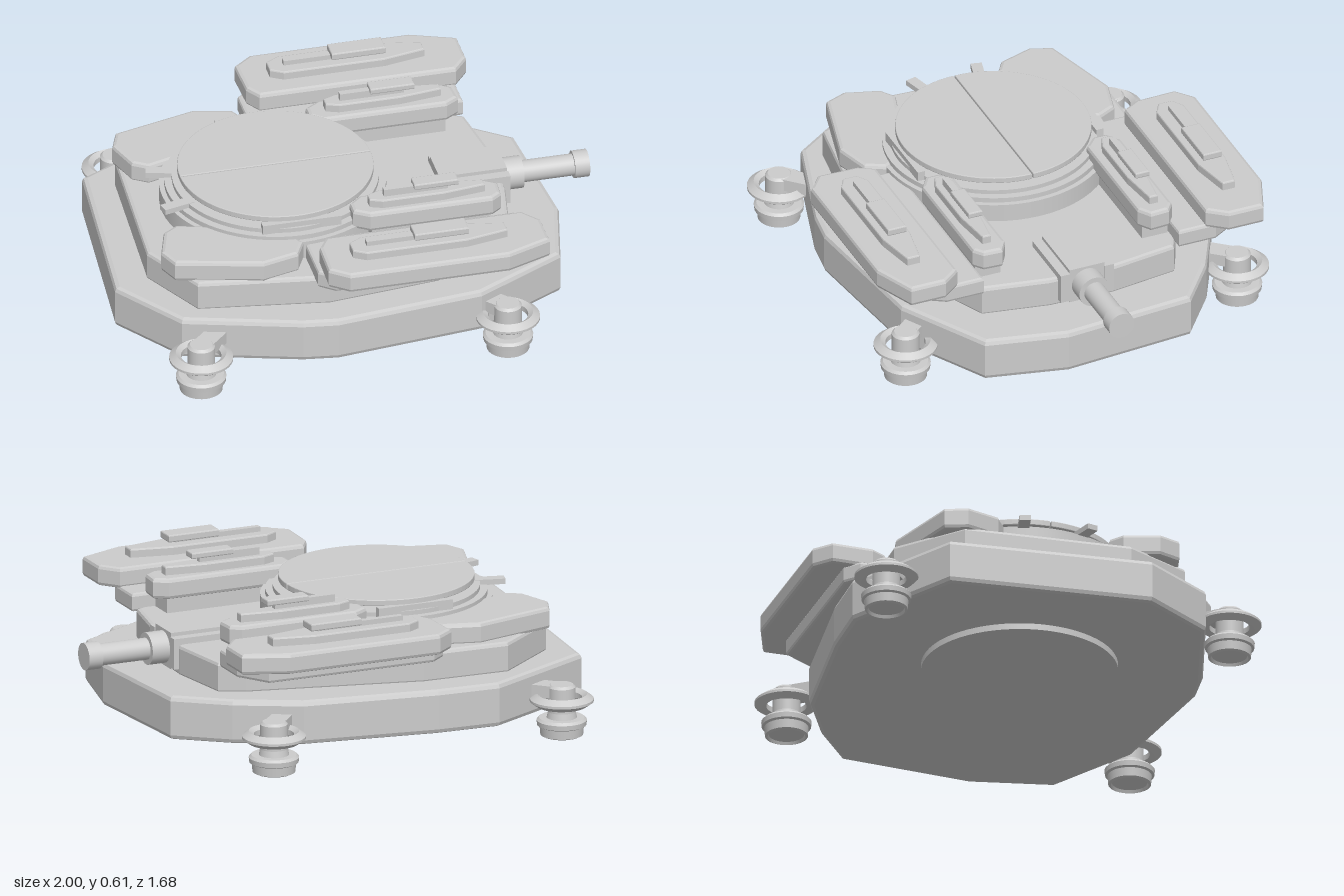
import * as THREE from 'three';

const material = new THREE.MeshStandardMaterial({ color: 0xcccccc });

function add(parent, name, geometry, x = 0, y = 0, z = 0) {
  const mesh = new THREE.Mesh(geometry, material);
  mesh.name = name;
  mesh.position.set(x, y, z);
  parent.add(mesh);
  return mesh;
}

// Bevelled plate with an [x, z] outline between two heights
function plate(parent, name, outline, bottom, top, bevel = 0.012) {
  const shape = new THREE.Shape(outline.map(([x, z]) => new THREE.Vector2(x, z)));
  const geometry = new THREE.ExtrudeGeometry(shape, {
    depth: top - bottom - 2 * bevel,
    bevelThickness: bevel, bevelSize: bevel, bevelOffset: -bevel, bevelSegments: 2,
    curveSegments: 24,
  });
  geometry.rotateX(Math.PI / 2);
  geometry.translate(0, top - bevel, 0);
  return add(parent, name, geometry);
}

// Vertical disc between two heights
function disc(parent, name, r, bottom, top, x, z = 0) {
  return add(parent, name, new THREE.CylinderGeometry(r, r, top - bottom, 64), x, (bottom + top) / 2, z);
}

function box(parent, name, x0, x1, y0, y1, z0, z1) {
  return add(parent, name, new THREE.BoxGeometry(x1 - x0, y1 - y0, z1 - z0),
    (x0 + x1) / 2, (y0 + y1) / 2, (z0 + z1) / 2);
}

// Cylinder lying along x
function rod(parent, name, r, x0, x1, y) {
  const geometry = new THREE.CylinderGeometry(r, r, x1 - x0, 32).rotateZ(Math.PI / 2);
  return add(parent, name, geometry, (x0 + x1) / 2, y, 0);
}

// Long pod with a tapered ridge, a thin stem and a raised block
function pod(parent, name, outline, y0, y1, ridge, block, z, halfRidge, halfBlock) {
  const group = new THREE.Group();
  group.name = name;
  parent.add(group);
  plate(group, 'podBody', outline, y0, y1, 0.015);
  const [a, b] = ridge, h = halfRidge;
  plate(group, 'podRidge', [
    [a, z - h * 0.5], [a + 0.05, z - h], [b - 0.17, z - h], [b, z - h * 0.45],
    [b, z + h * 0.45], [b - 0.17, z + h], [a + 0.05, z + h], [a, z + h * 0.5],
  ], y1 - 0.01, y1 + 0.035, 0.006);
  box(group, 'podStem', a + 0.06, block[1] - 0.04, y1, block[2] + 0.01, z - 0.013, z + 0.013);
  plate(group, 'podBlock', [
    [block[0], z - halfBlock], [block[1], z - halfBlock],
    [block[1], z + halfBlock], [block[0], z + halfBlock],
  ], block[2], block[3], 0.005);
}

// Hover unit: stepped drum, floating ring and an arm reaching to the hull
function hoverUnit(parent, x, z, armX, armZ) {
  const unit = new THREE.Group();
  unit.name = 'hoverUnit';
  unit.position.set(x, 0, z);
  parent.add(unit);
  const profile = [
    [0, 0.012], [0.07, 0.012], [0.075, 0], [0.085, 0.005], [0.088, 0.04], [0.098, 0.045],
    [0.1, 0.065], [0.09, 0.075], [0.06, 0.075], [0.055, 0.1], [0.055, 0.2], [0.045, 0.21], [0, 0.21],
  ];
  const flat = (points) => points.flatMap((p, i) => (i && i < points.length - 1 ? [p, p] : [p]));
  add(unit, 'drum', new THREE.LatheGeometry(flat(profile).map(([r, y]) => new THREE.Vector2(r, y)), 32));
  const ring = [[0.08, 0.135], [0.1, 0.123], [0.127, 0.142], [0.127, 0.152], [0.1, 0.172], [0.08, 0.158], [0.08, 0.135]];
  add(unit, 'ring', new THREE.LatheGeometry(flat(ring).map(([r, y]) => new THREE.Vector2(r, y)), 32));
  const length = Math.hypot(armX, armZ);
  const arm = add(unit, 'arm', new THREE.BoxGeometry(length, 0.05, 0.08), armX / 2, 0.182, armZ / 2);
  arm.rotation.y = -Math.atan2(armZ, armX);
}

export function createModel() {
  const model = new THREE.Group();
  model.name = 'hoverVehicle';

  // Stacked hulls
  plate(model, 'lowerHull', [
    [-0.46, -0.76], [-0.2, -0.75], [0.35, -0.67], [0.6, -0.54], [0.8, -0.385], [0.845, 0.16],
    [0.77, 0.49], [0.4, 0.69], [-0.2, 0.76], [-0.34, 0.74], [-0.8, 0.6], [-1, 0.31], [-0.93, -0.51],
  ], 0.08, 0.26, 0.02);
  plate(model, 'upperHull', [
    [-0.56, -0.62], [-0.2, -0.61], [0.5, -0.45], [0.6, -0.4], [0.64, -0.12], [0.63, 0.15],
    [0.58, 0.42], [0.25, 0.57], [-0.2, 0.62], [-0.72, 0.54], [-0.86, 0.27], [-0.82, -0.41],
  ], 0.25, 0.38, 0.015);
  disc(model, 'bellyDisc', 0.39, 0.055, 0.09, -0.27);

  // Mirrored pods, shelves and rear lobes
  for (const s of [1, -1]) {
    const side = (points) => points.map(([x, z]) => [x, s * z]);
    plate(model, 'podShelf', side([
      [-0.26, 0.45], [-0.22, 0.42], [0.6, 0.42], [0.6, 0.58], [0.52, 0.71], [-0.2, 0.71], [-0.26, 0.66],
    ]), 0.365, 0.44);
    pod(model, 'outerPod', side([
      [-0.24, 0.6], [-0.2, 0.535], [0.6, 0.535], [0.66, 0.61], [0.66, 0.76],
      [0.48, 0.83], [-0.17, 0.83], [-0.245, 0.77],
    ]), 0.43, 0.515, [-0.13, 0.5], [0.12, 0.34, 0.56, 0.59], s * 0.68, 0.06, 0.04);
    pod(model, 'innerPod', side([
      [-0.05, 0.33], [0, 0.285], [0.5, 0.285], [0.555, 0.32], [0.55, 0.4],
      [0.51, 0.43], [0.01, 0.43], [-0.05, 0.39],
    ]), 0.44, 0.525, [0.02, 0.49], [0.2, 0.38, 0.58, 0.605], s * 0.36, 0.04, 0.03);
    box(model, 'innerPodFoot', 0.02, 0.5, 0.37, 0.45, s * 0.36 - 0.055, s * 0.36 + 0.055);
    plate(model, 'rearLobe', side([
      [-0.835, 0.4], [-0.8, 0.49], [-0.46, 0.58], [-0.31, 0.54], [-0.27, 0.46],
      [-0.3, 0.4], [-0.63, 0.25], [-0.73, 0.22], [-0.79, 0.26],
    ]), 0.37, 0.46, 0.015);
  }

  // Turret drum with a raised split lid
  const cx = -0.27;
  disc(model, 'turretBase', 0.46, 0.37, 0.455, cx);
  disc(model, 'turretStep', 0.44, 0.45, 0.475, cx);
  disc(model, 'turretRim', 0.41, 0.47, 0.493, cx);
  for (const s of [1, -1]) {
    const half = [];
    for (let i = 0; i <= 40; i++) {
      const a = (i / 40) * Math.PI;
      half.push([cx + 0.388 * Math.cos(a), s * (0.003 + 0.385 * Math.sin(a))]);
    }
    plate(model, 'lidHalf', half, 0.512, 0.537, 0.003);
    box(model, 'lidClip', -0.42, -0.1, 0.45, 0.515, s * 0.385 - 0.015, s * 0.385 + 0.015);
    const tab = add(model, 'turretTab', new THREE.BoxGeometry(0.13, 0.022, 0.045), -0.7, 0.484, s * 0.125);
    tab.rotation.y = s * 0.25;
  }

  // Forward gun
  const gunY = 0.345;
  box(model, 'gunMount', 0.38, 0.655, 0.27, 0.42, -0.075, 0.075);
  for (const s of [1, -1]) {
    box(model, 'gunBracket', 0.38, 0.66, 0.28, 0.405, s * 0.095 - 0.02, s * 0.095 + 0.02);
  }
  rod(model, 'gunCollar', 0.065, 0.64, 0.73, gunY);
  rod(model, 'gunBarrel', 0.044, 0.72, 0.95, gunY);
  rod(model, 'gunMuzzle', 0.055, 0.94, 1, gunY);

  // Four hover units
  for (const s of [1, -1]) {
    hoverUnit(model, -0.75, s * 0.715, 0.14, s * -0.14);
    hoverUnit(model, 0.5, s * 0.715, -0.12, s * -0.14);
  }
  return model;
}
